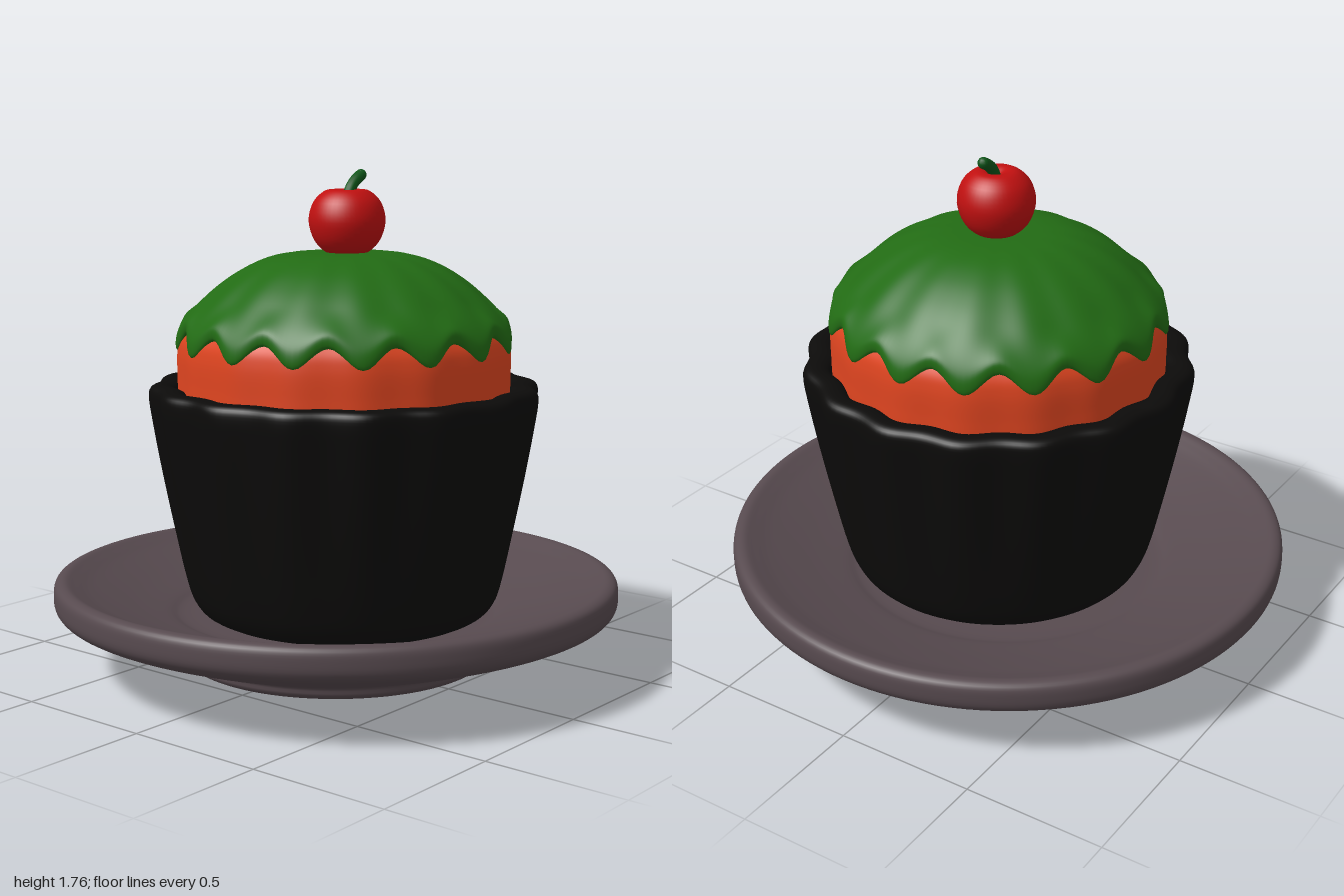
import * as THREE from 'three';
import { mergeVertices } from 'three/addons/utils/BufferGeometryUtils.js';

const LOBES = 16; // flutes around the cup, cake and icing

// Smooth lathe through profile points (bottom to top); warp(r, y, wave) returns [r, y]
function turned(points, warp, segments = 192, steps = 56) {
  const curve = new THREE.SplineCurve(points.map(([r, y]) => new THREE.Vector2(r, y)));
  const profile = curve.getPoints(steps).map(p => new THREE.Vector2(Math.max(0, p.x), p.y));
  let geo = new THREE.LatheGeometry(profile, segments);
  geo.deleteAttribute('uv');
  geo.deleteAttribute('normal');
  if (warp) {
    const pos = geo.attributes.position;
    for (let i = 0; i < pos.count; i++) {
      const x = pos.getX(i), z = pos.getZ(i), a = Math.atan2(x, z);
      const [r, y] = warp(Math.hypot(x, z), pos.getY(i), Math.cos(LOBES * a));
      pos.setXYZ(i, r * Math.sin(a), y, r * Math.cos(a));
    }
  }
  geo = mergeVertices(geo, 1e-5);
  geo.computeVertexNormals();
  return geo;
}

function part(name, geometry, color) {
  const mesh = new THREE.Mesh(geometry, new THREE.MeshStandardMaterial({ color, side: THREE.DoubleSide }));
  mesh.name = name;
  return mesh;
}

export function createModel() {
  const model = new THREE.Group();
  model.name = 'cupcakeOnPlate';

  // Shallow plate with a foot, tilted very slightly
  const plate = part('plate', turned([
    [0, 0.005], [0.3, 0.007], [0.48, 0.017], [0.545, 0.04], [0.56, 0.075], [0.64, 0.1],
    [0.8, 0.152], [0.94, 0.205], [0.99, 0.24], [0.998, 0.29], [0.99, 0.325], [0.96, 0.337],
    [0.92, 0.322], [0.86, 0.297], [0.72, 0.25], [0.6, 0.215], [0.54, 0.197], [0.4, 0.193], [0, 0.193],
  ], null, 128, 80), 0x574a4f);
  plate.rotation.set(-0.01, 0, -0.01);
  model.add(plate);

  // Everything on the plate sits a little off centre
  const cupcake = new THREE.Group();
  cupcake.name = 'cupcake';
  cupcake.position.set(0.016, 0, 0.027);
  model.add(cupcake);

  // Fluted cup, waves growing towards the rim
  cupcake.add(part('cup', turned([
    [0, 0.195], [0.4, 0.196], [0.49, 0.21], [0.535, 0.255], [0.562, 0.34], [0.594, 0.5], [0.63, 0.7],
    [0.66, 0.88], [0.673, 0.97], [0.668, 1.008], [0.64, 1.022], [0.6, 1.017], [0.575, 0.99], [0.56, 0.9],
  ], (r, y, wave) => [r + 0.011 * wave * THREE.MathUtils.smoothstep(y, 0.15, 0.9), y]), 0x0c0b0a));

  // Cake body
  cupcake.add(part('cake', turned([
    [0.54, 0.85], [0.575, 0.95], [0.58, 1.05], [0.579, 1.14], [0.563, 1.2], [0.51, 1.27], [0.4, 1.36], [0, 1.42],
  ], (r, y, wave) => [r + 0.004 * wave * r / 0.58, y]), 0xe04520));

  // Icing dome with a scalloped, dripping edge
  cupcake.add(part('icing', turned([
    [0.54, 1.16], [0.565, 1.138], [0.582, 1.15], [0.577, 1.2], [0.545, 1.255], [0.49, 1.315],
    [0.42, 1.375], [0.34, 1.425], [0.25, 1.46], [0.15, 1.474], [0, 1.474],
  ], (r, y, wave) => {
    const edge = 1 - THREE.MathUtils.smoothstep(y, 1.13, 1.33);
    return [r + 0.006 * wave * r / 0.58 - 0.005 * edge * (1 - wave), y + 0.035 * edge * (1 - wave)];
  }), 0x226b14));

  // Cherry with a dimple, and its bent stem
  const cherry = new THREE.Group();
  cherry.name = 'cherry';
  cherry.position.set(0.006, 1.58, 0.004);
  cherry.add(part('cherryFruit', turned([
    [0, -0.12], [0.06, -0.112], [0.11, -0.07], [0.133, 0], [0.118, 0.065], [0.08, 0.104], [0.045, 0.11], [0.015, 0.095], [0, 0.09],
  ], null, 48, 32), 0xc01010));
  const stemPath = new THREE.CatmullRomCurve3([[0.005, 0.085], [0.02, 0.115], [0.045, 0.14], [0.076, 0.158]]
    .map(([x, y]) => new THREE.Vector3(x, y, 0)));
  cherry.add(part('cherryStem', new THREE.TubeGeometry(stemPath, 16, 0.02, 12), 0x0e5518));
  const tip = part('cherryStemTip', new THREE.SphereGeometry(0.02, 12, 8), 0x0e5518);
  tip.position.copy(stemPath.getPoint(1));
  cherry.add(tip);
  cupcake.add(cherry);

  return model;
}
